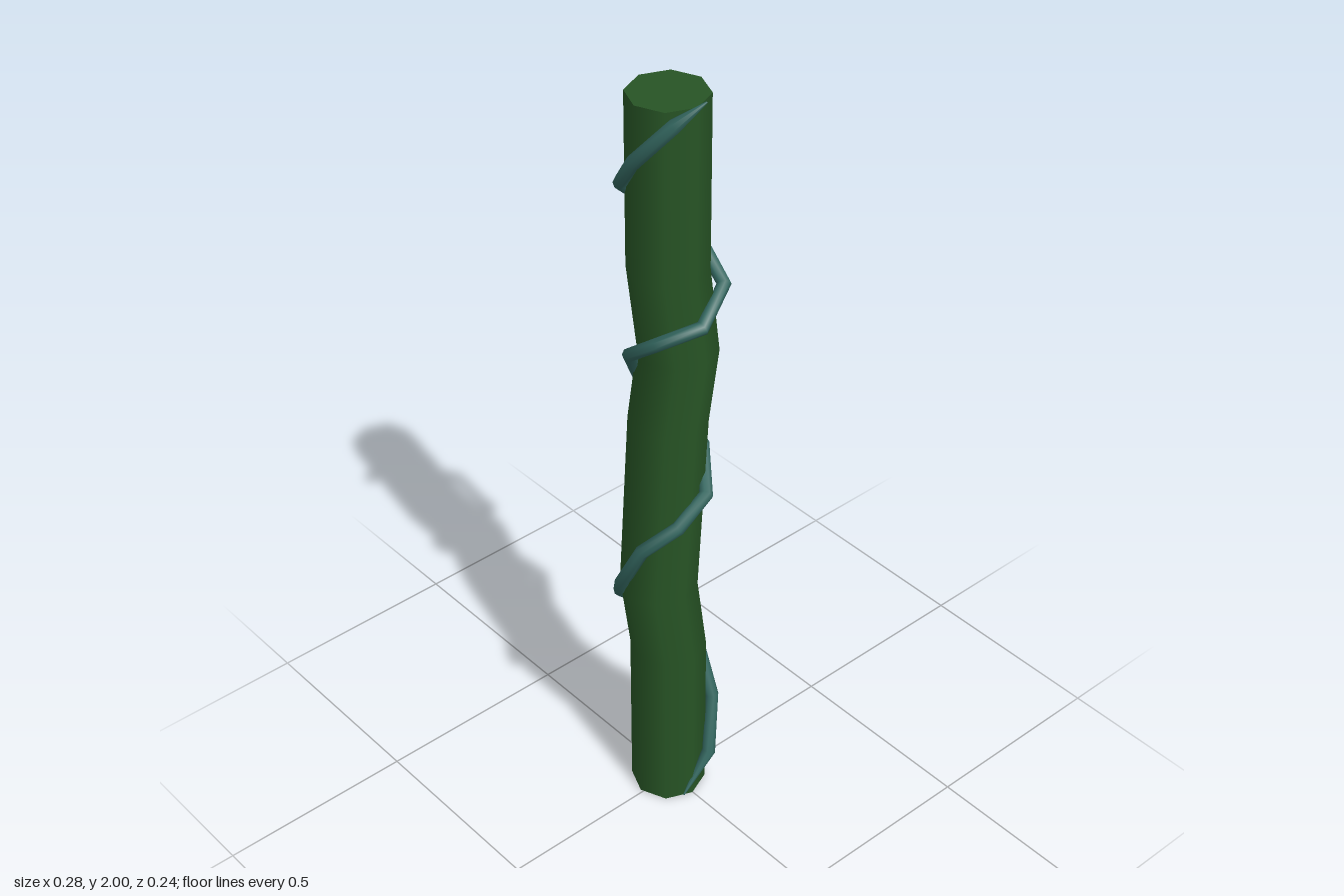
import * as THREE from 'three';

// Trunk bends: [height, sideways shift]
const BENDS = [[0, 0], [0.45, 0], [0.66, -0.03], [1.13, 0], [1.31, 0.03], [1.54, 0], [1.97, 0]];

// Centre line of the climbing vine
const VINE = [
  [-0.03, 0.01, 0.085], [0.055, 0.11, 0.083], [0.098, 0.25, 0.045], [0.1, 0.39, -0.015],
  [0.06, 0.48, -0.092], [-0.075, 0.6, -0.1], [-0.125, 0.69, -0.035], [-0.124, 0.83, 0.04],
  [-0.06, 0.9, 0.095], [0.03, 0.95, 0.09], [0.108, 1.0, -0.01], [0.085, 1.08, -0.07],
  [0.0, 1.19, -0.105], [-0.07, 1.31, -0.06], [-0.083, 1.4, 0.05], [0, 1.435, 0.105],
  [0.117, 1.47, 0.045], [0.122, 1.56, -0.062], [0.05, 1.63, -0.103], [-0.075, 1.75, -0.077],
  [-0.115, 1.85, 0.01], [-0.065, 1.95, 0.085], [-0.005, 1.998, 0.118],
].map((p) => new THREE.Vector3(...p));

// Eight-sided cylinder whose rings are moved to the bend heights
function trunkGeometry() {
  const height = 1.97, steps = BENDS.length - 1;
  const geo = new THREE.CylinderGeometry(0.093, 0.093, height, 8, steps);
  const pos = geo.attributes.position;
  for (let i = 0; i < pos.count; i++) {
    const ring = Math.round((pos.getY(i) / height + 0.5) * steps);
    const [y, shift] = BENDS[ring];
    pos.setXYZ(i, pos.getX(i) + shift - 0.001, y, pos.getZ(i) - 0.008);
  }
  return geo;
}

// Angular tube with mitred corners, tapering to a point at both ends
function vineGeometry(points, radius, sides) {
  const verts = [], index = [], last = points.length - 1;
  points.forEach((p, i) => {
    const before = points[Math.max(i - 1, 0)], after = points[Math.min(i + 1, last)];
    const a = p.clone().sub(before).normalize(), b = after.clone().sub(p).normalize();
    const dir = a.add(b).normalize();
    const out = new THREE.Vector3(p.x, 0, p.z);
    out.addScaledVector(dir, -out.dot(dir)).normalize();
    const side = dir.clone().cross(out);
    const r = i === 0 || i === last ? 0.002 : radius;
    for (let k = 0; k < sides; k++) {
      const t = (k / sides) * Math.PI * 2;
      const v = p.clone().addScaledVector(out, r * Math.cos(t)).addScaledVector(side, r * Math.sin(t));
      verts.push(v.x, Math.max(v.y, 0), v.z);
      if (i < last) {
        const q = i * sides + k, n = i * sides + ((k + 1) % sides);
        index.push(q, n, q + sides, n, n + sides, q + sides);
      }
    }
  });
  const geo = new THREE.BufferGeometry();
  geo.setAttribute('position', new THREE.Float32BufferAttribute(verts, 3));
  geo.setIndex(index);
  geo.computeVertexNormals();
  return geo;
}

export function createModel() {
  const group = new THREE.Group();
  group.name = 'vineStalk';
  const stalkGreen = new THREE.MeshStandardMaterial({ color: 0x275425 });
  stalkGreen.name = 'stalkGreen';
  const vineTeal = new THREE.MeshStandardMaterial({ color: 0x33665f });
  vineTeal.name = 'vineTeal';

  const stalk = new THREE.Mesh(trunkGeometry(), stalkGreen);
  stalk.name = 'stalk';
  const vine = new THREE.Mesh(vineGeometry(VINE, 0.017, 8), vineTeal);
  vine.name = 'climbingVine';
  group.add(stalk, vine);
  return group;
}
